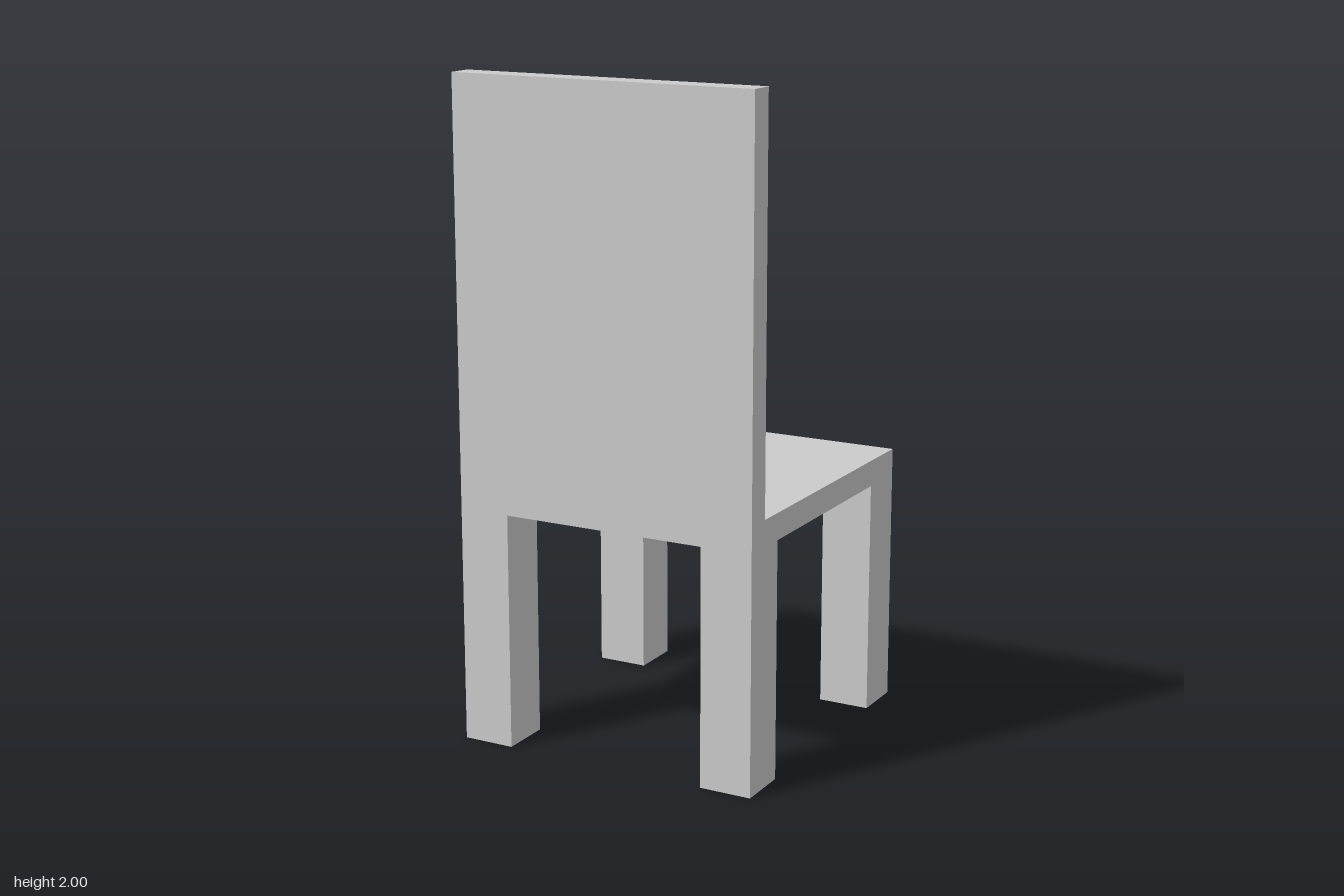
import * as THREE from 'three';

const WIDTH = 0.96, SEAT_TOP = 0.8, SEAT_THICK = 0.08;
const LEG = 0.16, BACK_THICK = 0.08, HEIGHT = 2;

export function createModel() {
  const chair = new THREE.Group();
  chair.name = 'chair';
  const material = new THREE.MeshStandardMaterial({ color: 0xcccccc, flatShading: true });

  // Box placed by the centre of its footprint and its bottom height
  const addBox = (name, w, h, d, x, bottom, z) => {
    const mesh = new THREE.Mesh(new THREE.BoxGeometry(w, h, d), material);
    mesh.name = name;
    mesh.position.set(x, bottom + h / 2, z);
    chair.add(mesh);
  };

  // Seat slab
  addBox('seat', WIDTH, SEAT_THICK, WIDTH, 0, SEAT_TOP - SEAT_THICK, 0);

  // Backrest panel, standing on the +z edge of the seat
  addBox('backrest', WIDTH, HEIGHT - SEAT_TOP, BACK_THICK, 0, SEAT_TOP, (WIDTH - BACK_THICK) / 2);

  // Four square legs, flush with the seat corners
  const inset = (WIDTH - LEG) / 2;
  for (const sx of [-1, 1]) {
    for (const sz of [-1, 1]) {
      const name = (sx > 0 ? 'left' : 'right') + (sz > 0 ? 'BackrestSideLeg' : 'SeatEdgeLeg');
      addBox(name, LEG, SEAT_TOP - SEAT_THICK, LEG, sx * inset, 0, sz * inset);
    }
  }
  return chair;
}
